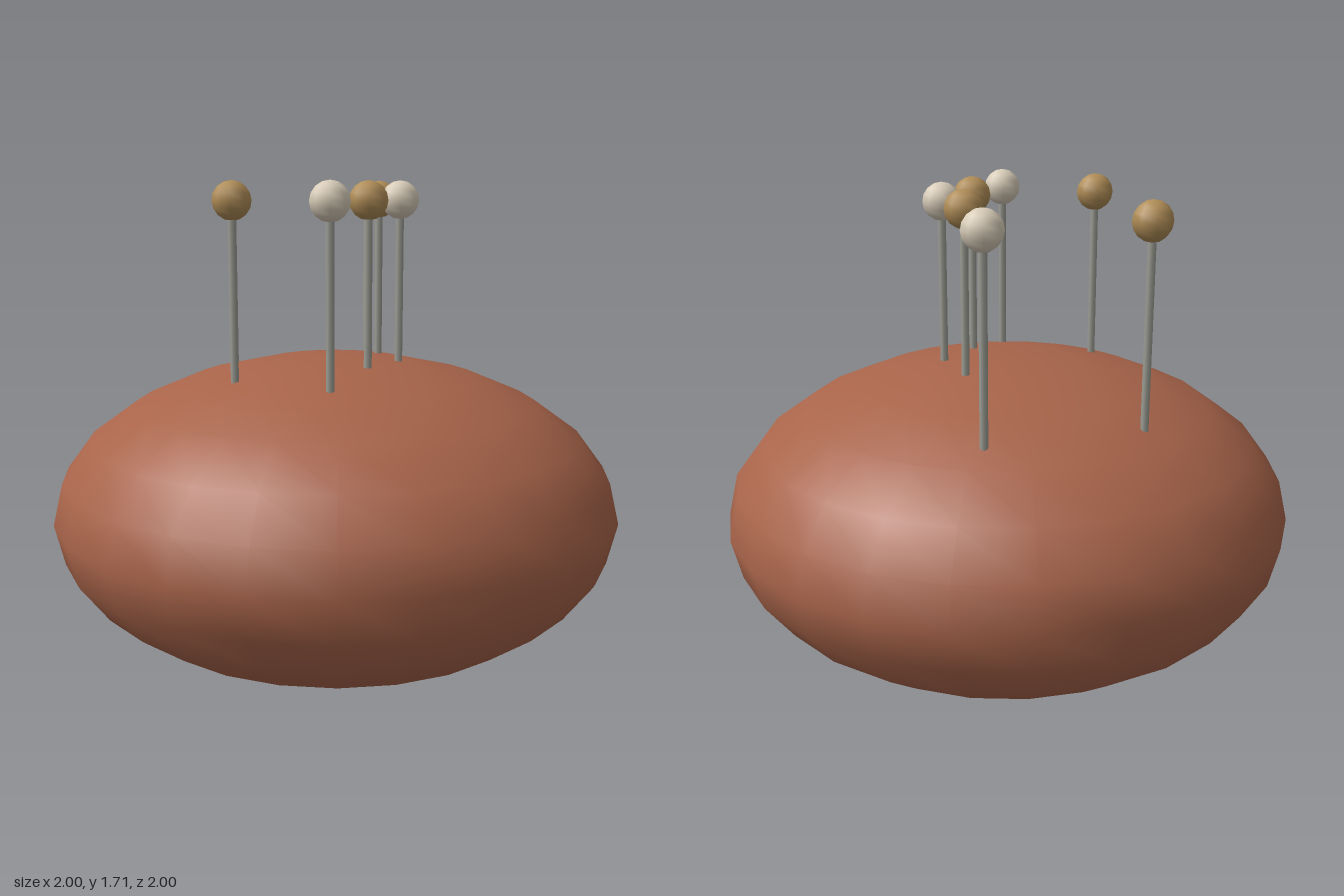
import * as THREE from 'three';

const material = (color) => new THREE.MeshStandardMaterial({ color });

export function createModel() {
  const model = new THREE.Group();
  model.name = 'pincushion';

  // Squashed round cushion
  const cushion = new THREE.Mesh(new THREE.SphereGeometry(1, 24, 12), material(0xa8644a));
  cushion.name = 'cushion';
  cushion.scale.y = 0.55;
  cushion.position.y = 0.55;
  model.add(cushion);

  // Pins share one shaft and one head shape
  const headY = 1.64, footY = 0.95;
  const shaftGeometry = new THREE.CylinderGeometry(0.0135, 0.0135, headY - footY, 8);
  const headGeometry = new THREE.SphereGeometry(0.065, 8, 8);
  const steel = material(0x9c9c94);
  const tan = material(0xb08d57);
  const ivory = material(0xd8ccb8);

  const pins = [
    [0.05, -0.61, tan],
    [0.51, -0.33, ivory],
    [-0.41, -0.07, tan],
    [0.22, 0, tan],
    [0.13, 0.18, ivory],
    [-0.06, 0.21, tan],
    [-0.31, 0.28, ivory],
  ];
  for (const [x, z, headMaterial] of pins) {
    const pin = new THREE.Group();
    pin.name = 'pin';
    pin.position.set(x, 0, z);

    const shaft = new THREE.Mesh(shaftGeometry, steel);
    shaft.name = 'pinShaft';
    shaft.position.y = (headY + footY) / 2;

    const head = new THREE.Mesh(headGeometry, headMaterial);
    head.name = 'pinHead';
    head.position.y = headY;

    pin.add(shaft, head);
    model.add(pin);
  }
  return model;
}
